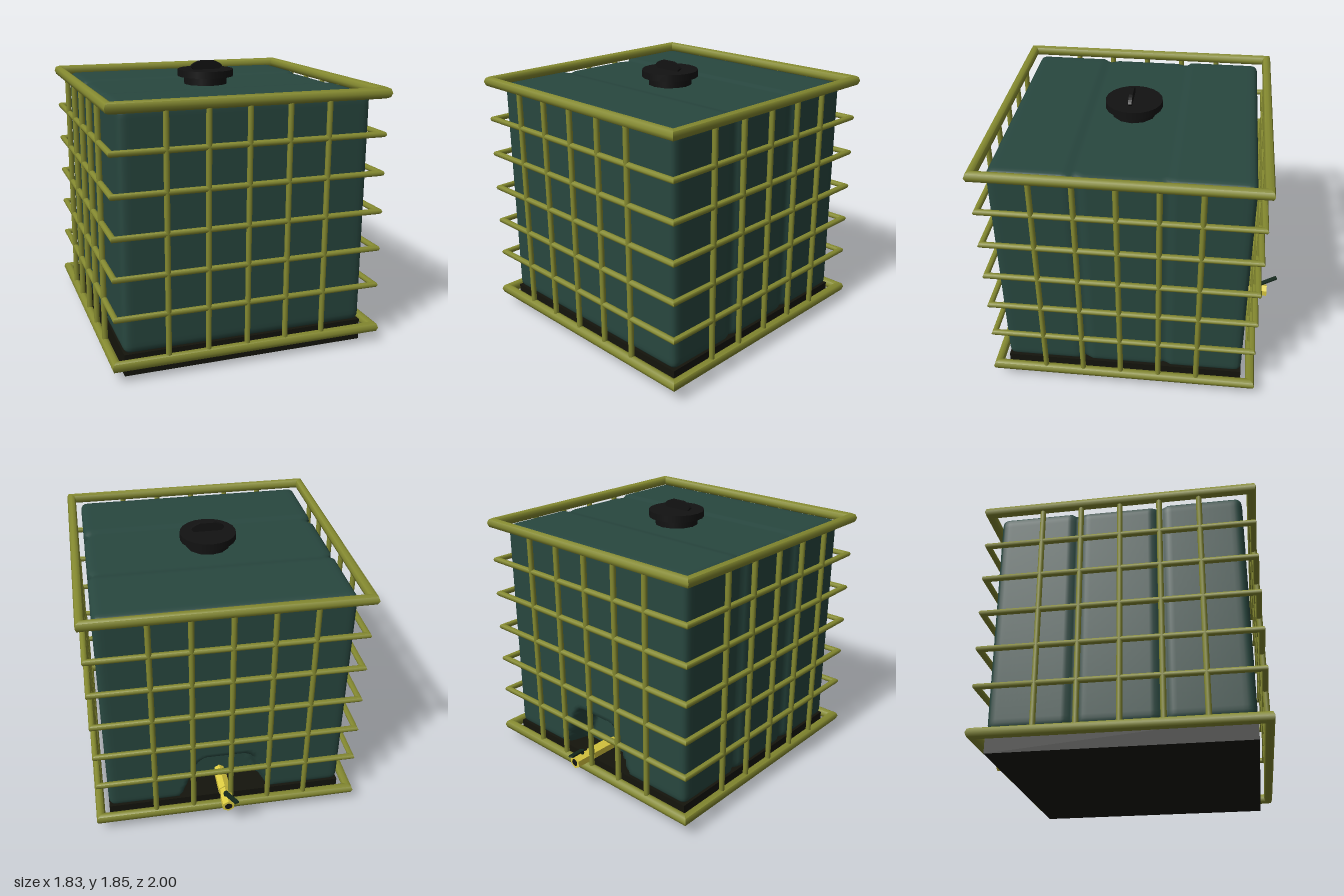
import * as THREE from 'three';
import { mergeVertices, toCreasedNormals } from 'three/addons/utils/BufferGeometryUtils.js';

const CZ = 0.08; // centre of cage and tank in z
const mat = (color) => new THREE.MeshStandardMaterial({ color });
const cageMat = mat(0x858a30);
const tankMat = mat(0x28473f);
const blackMat = mat(0x121212);
const baseMat = mat(0x14140c);
const brassMat = mat(0xdccb40);
const leverMat = mat(0x14281c);

function add(parent, name, geometry, material, x = 0, y = 0, z = 0) {
  const mesh = new THREE.Mesh(geometry, material);
  mesh.name = name;
  mesh.position.set(x, y, z);
  parent.add(mesh);
  return mesh;
}

// Square mitred hoop: an octagonal tube section turned through four corners
function hoop(half, rx, ry) {
  const pts = [];
  for (let i = 0; i <= 8; i++) {
    const a = (i / 8) * Math.PI * 2;
    pts.push(new THREE.Vector2((half + rx * Math.cos(a)) * Math.SQRT2, ry * Math.sin(a)));
  }
  const g = new THREE.LatheGeometry(pts, 4);
  g.rotateY(Math.PI / 4);
  return toCreasedNormals(g, 1);
}

// Rounded tank with side grooves, a lowered top band and a bell-shaped valve recess
function tankGeometry(w, h, d, r) {
  const n = 60;
  let g = new THREE.BoxGeometry(w, h, d, n, n, n);
  const p = g.attributes.position;
  const v = new THREE.Vector3(), core = new THREE.Vector3();
  const lim = new THREE.Vector3(w / 2 - r, h / 2 - r, d / 2 - r);
  for (let i = 0; i < p.count; i++) {
    v.fromBufferAttribute(p, i);
    core.copy(v).clamp(lim.clone().negate(), lim);
    v.sub(core);
    if (v.lengthSq() > 0) v.setLength(r);
    v.add(core);
    // vertical grooves on both sides
    for (const gz of [-0.28, 0.27]) {
      const t = Math.max(0, 1 - Math.abs(v.z - gz) / 0.045);
      if (Math.abs(v.x) > w / 2 - 0.06) v.x -= Math.sign(v.x) * 0.03 * t;
    }
    // lowered band across the top
    if (v.y > h / 2 - 0.02 && v.z > -0.32 && v.z < 0.32) v.y -= 0.01;
    // recess around the valve
    const up = (v.y + h / 2) / 0.36;
    const halfWidth = 0.33 - 0.14 * Math.min(1, up);
    const side = THREE.MathUtils.smoothstep(halfWidth - Math.abs(v.x), 0, 0.07);
    const top = THREE.MathUtils.smoothstep(1 - up, 0, 0.25);
    v.z = Math.max(v.z, -d / 2 + 0.19 * side * top);
    p.setXYZ(i, v.x, v.y, v.z);
  }
  g.deleteAttribute('normal');
  g.deleteAttribute('uv');
  g = mergeVertices(g, 1e-4);
  g.computeVertexNormals();
  return g;
}

export function createModel() {
  const model = new THREE.Group();
  model.name = 'cagedLiquidTank';

  // Base and tank
  add(model, 'base', new THREE.BoxGeometry(1.64, 0.145, 1.64), baseMat, 0, 0.0725, CZ);
  add(model, 'tank', tankGeometry(1.64, 1.56, 1.64, 0.045), tankMat, 0, 0.92, CZ);

  // Cage: heavy rails at top and bottom, light hoops between, uprights on all sides
  const cage = new THREE.Group();
  cage.name = 'cage';
  cage.position.z = CZ;
  model.add(cage);
  for (const y of [0.108, 1.705]) add(cage, 'heavyRail', hoop(0.884, 0.031, 0.037), cageMat, 0, y, 0);
  for (const y of [0.415, 0.672, 0.928, 1.185, 1.44]) add(cage, 'hoop', hoop(0.88, 0.02, 0.02), cageMat, 0, y, 0);
  const bar = new THREE.CylinderGeometry(0.019, 0.019, 1.6, 8);
  for (let i = 0; i < 5; i++) {
    const x = -0.55 + i * 0.262;
    for (const s of [-1, 1]) {
      add(cage, 'frontBackUpright', bar, cageMat, x, 0.906, s * 0.882);
      add(cage, 'sideUpright', bar, cageMat, s * 0.882, 0.906, 0.54 - i * 0.2625);
    }
  }

  // Filler cap
  const cap = new THREE.Group();
  cap.name = 'cap';
  cap.position.set(-0.014, 0, 0.09);
  model.add(cap);
  add(cap, 'capNeck', new THREE.CylinderGeometry(0.15, 0.15, 0.08, 12), blackMat, 0, 1.71, 0);
  add(cap, 'capDisc', new THREE.CylinderGeometry(0.192, 0.192, 0.046, 20), blackMat, 0, 1.766, 0);
  const grip = new THREE.Shape();
  grip.moveTo(-0.085, 1.78);
  grip.lineTo(0.085, 1.78);
  grip.lineTo(0.113, 1.81);
  grip.quadraticCurveTo(0.1, 1.832, 0.05, 1.848);
  grip.lineTo(-0.05, 1.848);
  grip.quadraticCurveTo(-0.1, 1.832, -0.113, 1.81);
  add(cap, 'capGrip', new THREE.ExtrudeGeometry(grip, { depth: 0.024, bevelEnabled: false, curveSegments: 4 }), blackMat, 0, 0, 0.004);

  // Outlet valve at the back
  const valve = new THREE.Group();
  valve.name = 'valve';
  valve.position.set(0.012, 0.2, 0);
  model.add(valve);
  const hex = (r, len) => toCreasedNormals(new THREE.CylinderGeometry(r, r, len, 6).rotateX(Math.PI / 2), 0.5);
  add(valve, 'valvePipe', hex(0.037, 0.4), brassMat, 0, 0, -0.7);
  add(valve, 'valveBody', hex(0.045, 0.19), brassMat, 0, 0, -0.68);
  add(valve, 'valveNozzle', hex(0.045, 0.1), brassMat, 0, 0, -0.875);
  add(valve, 'valveBore', new THREE.CircleGeometry(0.026, 12).rotateY(Math.PI), blackMat, 0, 0, -0.927);
  add(valve, 'leverStem', new THREE.CylinderGeometry(0.016, 0.018, 0.06, 8), leverMat, 0.004, 0.035, -0.855);
  const lever = add(valve, 'lever', new THREE.BoxGeometry(0.032, 0.012, 0.16), leverMat, -0.017, 0.077, -0.922);
  lever.lookAt(-0.062, 0.094, -1.02);
  lever.rotation.set(0.26, 0.35, 0, 'YXZ');

  return model;
}
